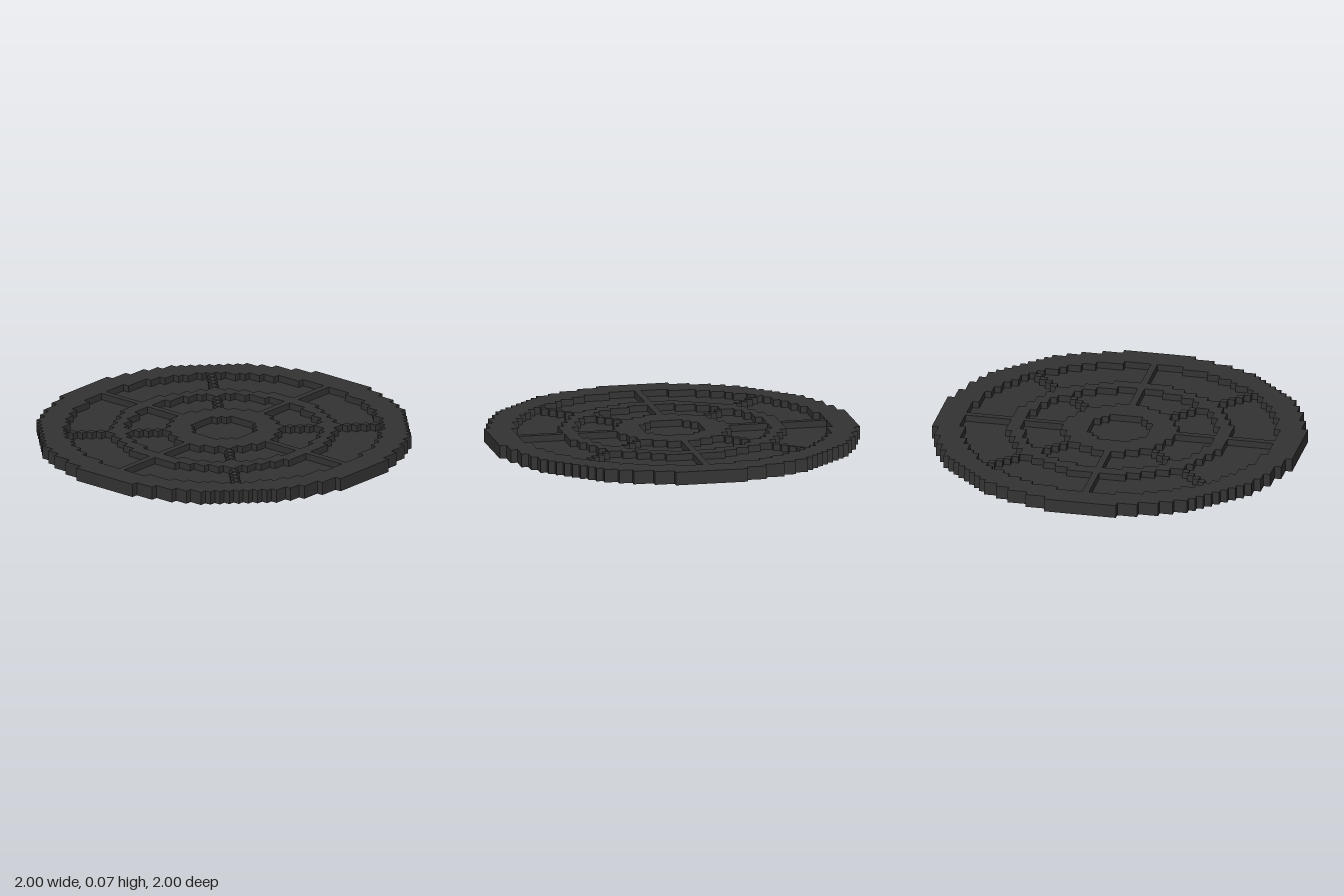
import * as THREE from 'three';
import { mergeGeometries } from 'three/addons/utils/BufferGeometryUtils.js';

const HALF = 27;                    // cells either side of the centre cell
const S = 2 / (2 * HALF + 1);       // cell size

// Regions of the cover, by cell coordinate
const within = (x, z, r) => x * x + z * z <= r * r;
const band = (r0, r1) => (x, z) => within(x, z, r1) && !within(x, z, r0);
const disc = (x, z) => within(x, z, 27.5);
const outerRim = band(23.5, 27.5);
const outerPocket = band(16.5, 23.5);
const middleRing = band(14.5, 16.5);
const innerPocket = band(8.5, 14.5);
const hubRing = band(4.5, 8.5);
const onSpoke = (x, z) => x === 0 || z === 0 || Math.abs(x) === Math.abs(z);
const outerSpokes = (x, z) => outerPocket(x, z) && onSpoke(x, z);
const innerSpokes = (x, z) => innerPocket(x, z) && onSpoke(x, z);
const raised = (x, z) =>
  [outerRim, middleRing, hubRing, outerSpokes, innerSpokes].some((part) => part(x, z));

// One layer of blocks, keeping only the exposed faces
function blockLayer(name, material, level, { filled, solid, open, bottom = false }) {
  const faces = [];
  const y = level * S;
  for (let x = -HALF; x <= HALF; x++) {
    for (let z = -HALF; z <= HALF; z++) {
      if (!filled(x, z)) continue;
      const cx = x * S, cz = z * S;
      if (open(x, z)) {
        faces.push(new THREE.PlaneGeometry(S, S).rotateX(-Math.PI / 2).translate(cx, y + S, cz));
      }
      if (bottom) {
        faces.push(new THREE.PlaneGeometry(S, S).rotateX(Math.PI / 2).translate(cx, y, cz));
      }
      for (const [dx, dz] of [[1, 0], [-1, 0], [0, 1], [0, -1]]) {
        if (solid(x + dx, z + dz)) continue;
        faces.push(new THREE.PlaneGeometry(S, S)
          .rotateY(Math.atan2(dx, dz))
          .translate(cx + dx * S / 2, y + S / 2, cz + dz * S / 2));
      }
    }
  }
  const mesh = new THREE.Mesh(mergeGeometries(faces), material);
  mesh.name = name;
  return mesh;
}

export function createModel() {
  const group = new THREE.Group();
  group.name = 'roundCover';
  const iron = new THREE.MeshStandardMaterial({ color: 0x333333 });
  iron.name = 'darkIron';

  // Solid base disc; its top shows only in the pockets
  group.add(blockLayer('baseDisc', iron, 0, {
    filled: disc, solid: disc, open: (x, z) => !raised(x, z), bottom: true,
  }));

  // Raised relief
  const relief = { outerRim, middleRing, hubRing, outerSpokes, innerSpokes };
  for (const [name, filled] of Object.entries(relief)) {
    group.add(blockLayer(name, iron, 1, { filled, solid: raised, open: () => true }));
  }
  return group;
}
